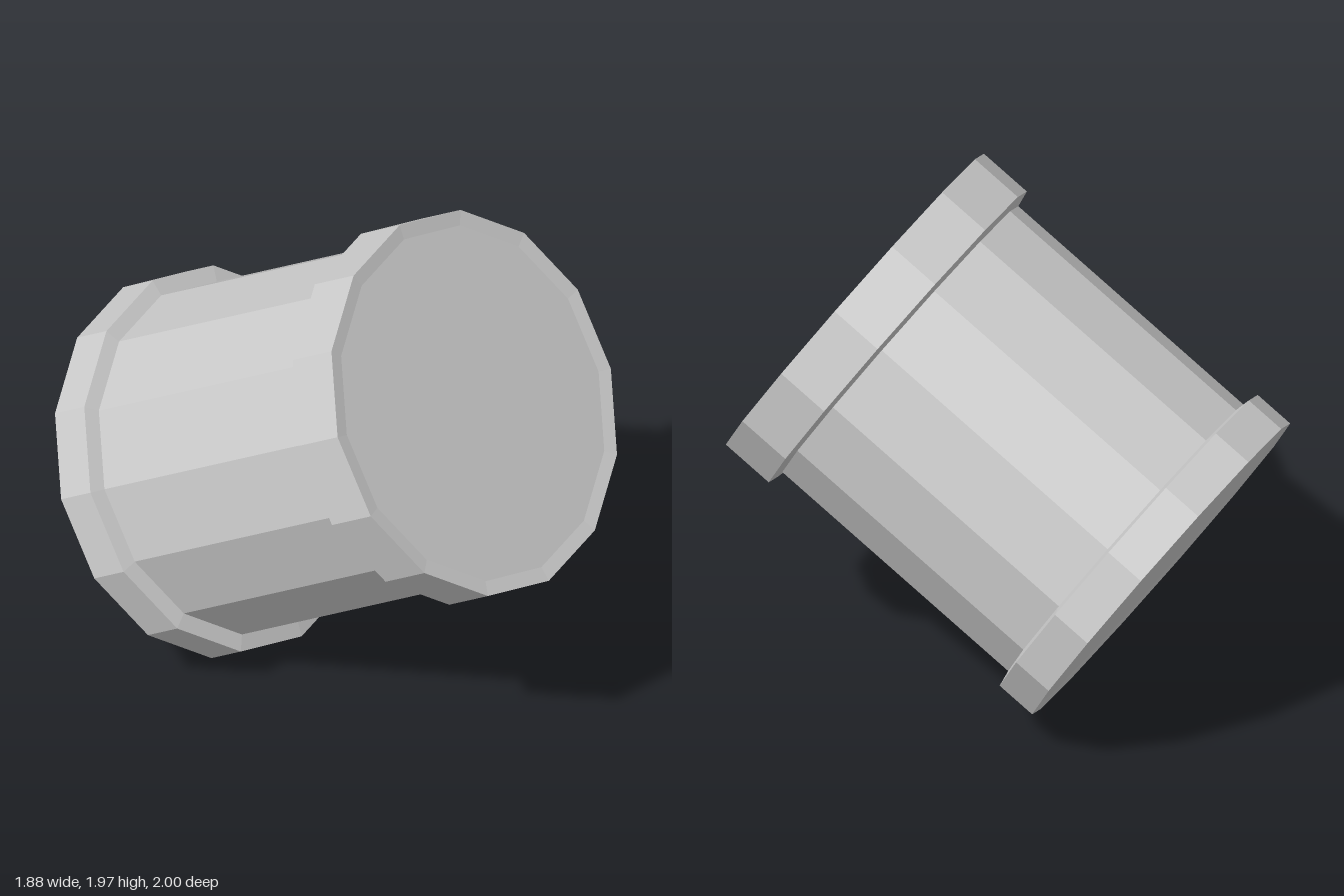
import * as THREE from 'three';

const SIDES = 14;
const HALF = 0.731;      // half length along the axis
const R_COLLAR = 0.7;
const R_BODY = 0.64;
const RECESS = 0.008;    // shallow dish in the end faces

// Faceted solid of revolution; profile points are [radius, height], bottom to top
function turned(name, profile, material) {
  const points = profile.map(([r, y]) => new THREE.Vector2(r, y));
  const mesh = new THREE.Mesh(new THREE.LatheGeometry(points, SIDES), material);
  mesh.name = name;
  return mesh;
}

export function createModel() {
  const material = new THREE.MeshStandardMaterial({ color: 0xcccccc, flatShading: true });
  const model = new THREE.Group();
  model.name = 'drum';

  // Inner edges of the thin back collar and the wider front collar
  const back = -HALF + 0.155;
  const front = HALF - 0.205;
  const slope = 0.012;

  const tilted = new THREE.Group();
  tilted.name = 'tiltedDrum';
  tilted.add(
    turned('barrel', [[R_BODY, back + slope], [R_BODY, front - slope]], material),
    turned('backCollar', [
      [0, -HALF + RECESS], [0.645, -HALF + RECESS], [R_COLLAR, -HALF],
      [R_COLLAR, back], [R_BODY, back + slope],
    ], material),
    turned('frontCollar', [
      [R_BODY, front - slope], [R_COLLAR, front], [R_COLLAR, HALF],
      [0.645, HALF - RECESS], [0, HALF - RECESS],
    ], material),
  );

  // Lean the axis up, forward and to the left, with one corner towards the given side
  const axis = new THREE.Vector3(0.3, 0.405, 0.53).normalize();
  const corner = new THREE.Vector3(-0.56, 0.415, 0.01);
  corner.addScaledVector(axis, -corner.dot(axis)).normalize();
  const across = new THREE.Vector3().crossVectors(axis, corner);
  tilted.quaternion.setFromRotationMatrix(new THREE.Matrix4().makeBasis(across, axis, corner));
  tilted.position.y = 1;
  model.add(tilted);
  return model;
}
